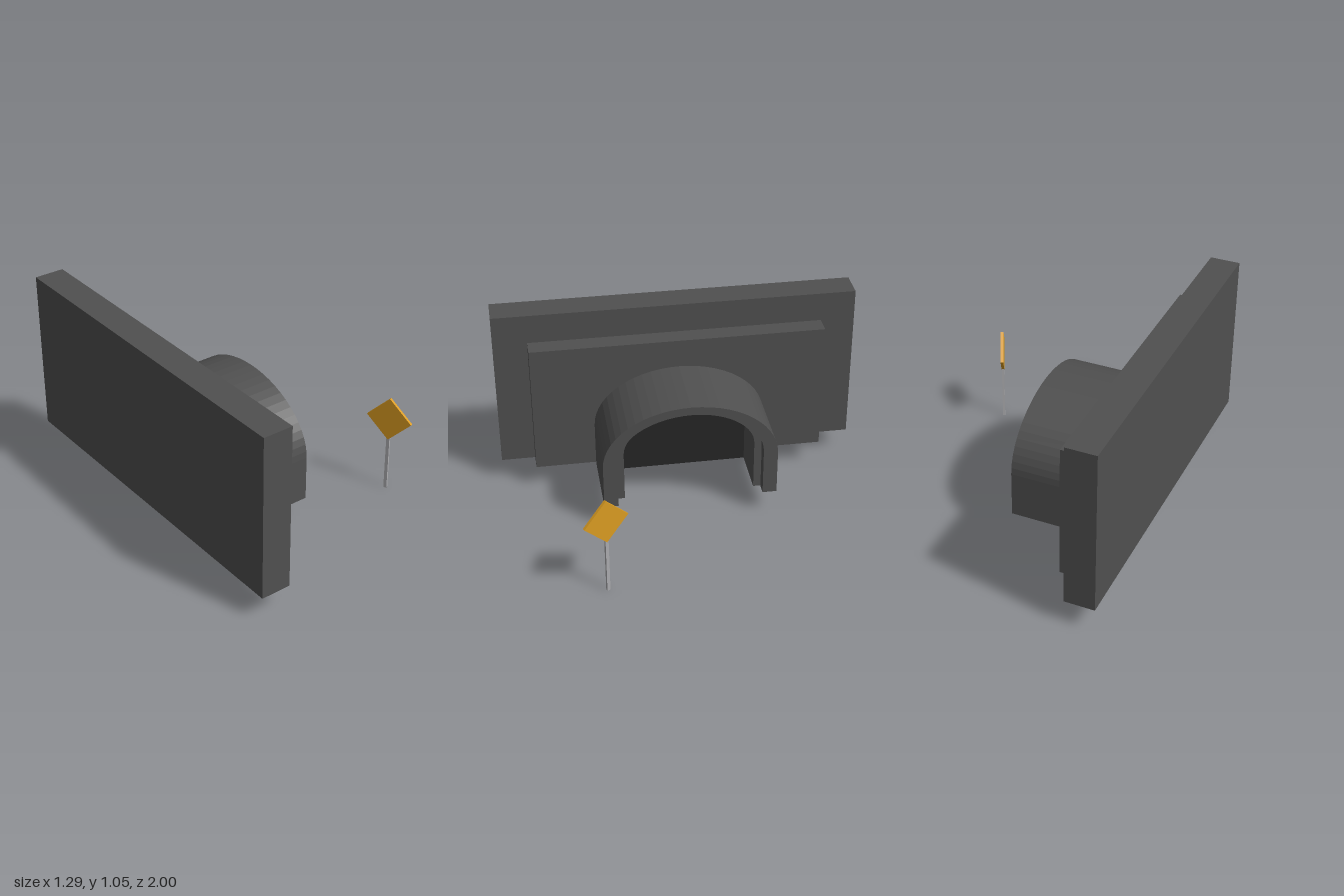
import * as THREE from 'three';

const concrete = new THREE.MeshStandardMaterial({ color: 0x505050 });
concrete.name = 'concrete';
const shadowBlack = new THREE.MeshStandardMaterial({ color: 0x272727 });
shadowBlack.name = 'tunnel black';
const signYellow = new THREE.MeshStandardMaterial({ color: 0xdc9d22 });
signYellow.name = 'sign yellow';
const postGrey = new THREE.MeshStandardMaterial({ color: 0xadadb0 });
postGrey.name = 'post grey';

const BASE = 0.135;

// Points of an arch: straight legs with a half ellipse on top
function archPoints(half, spring, top, base, steps = 28) {
  const pts = [new THREE.Vector2(half, base)];
  for (let i = 0; i <= steps; i++) {
    const a = (i / steps) * Math.PI;
    pts.push(new THREE.Vector2(Math.cos(a) * half, spring + Math.sin(a) * (top - spring)));
  }
  pts.push(new THREE.Vector2(-half, base));
  return pts;
}

// Extrude an outline along x, from x0 to x1
function extrudeAlongX(points, x0, x1, material, name) {
  const geo = new THREE.ExtrudeGeometry(new THREE.Shape(points), { depth: x1 - x0, bevelEnabled: false });
  geo.rotateY(Math.PI / 2);
  geo.translate(x0, 0, 0);
  const mesh = new THREE.Mesh(geo, material);
  mesh.name = name;
  return mesh;
}

// Box given by its limits in x and y and its half length in z
function slab(x0, x1, y0, y1, halfZ, name) {
  const mesh = new THREE.Mesh(new THREE.BoxGeometry(x1 - x0, y1 - y0, halfZ * 2), concrete);
  mesh.position.set((x0 + x1) / 2, (y0 + y1) / 2, 0);
  mesh.name = name;
  return mesh;
}

export function createModel() {
  const model = new THREE.Group();
  model.name = 'tunnelEntrance';

  // Stepped retaining walls
  model.add(slab(-0.645, -0.48, BASE, 1.047, 1, 'backWall'));
  model.add(slab(-0.48, -0.375, BASE + 0.003, 0.882, 0.812, 'frontWall'));

  // Arched hood with a recessed inner lining
  const outer = archPoints(0.475, 0.385, 0.722, 0.131);
  const middle = archPoints(0.397, 0.4, 0.675, 0.131);
  const inner = archPoints(0.356, 0.42, 0.637, BASE);
  const lining = archPoints(0.397, 0.4, 0.675, BASE);
  model.add(extrudeAlongX([...outer, ...middle.reverse()], -0.375, 0.05, concrete, 'archHood'));
  model.add(extrudeAlongX([...lining, ...[...inner].reverse()], -0.375, -0.01, concrete, 'archLining'));

  // Dark mouth of the tunnel
  model.add(extrudeAlongX(inner, -0.375, -0.29, shadowBlack, 'tunnelMouth'));

  // Diamond warning sign on a post, turned towards the road
  const sign = new THREE.Group();
  sign.name = 'warningSign';
  const side = 0.127 * Math.SQRT2;
  const plate = new THREE.Mesh(new THREE.BoxGeometry(0.016, side, side), signYellow);
  plate.name = 'signPlate';
  plate.rotation.x = Math.PI / 4;
  plate.position.y = 0.44;
  const post = new THREE.Mesh(new THREE.BoxGeometry(0.013, 0.35, 0.018), postGrey);
  post.name = 'signPost';
  post.position.y = 0.175;
  sign.add(plate, post);
  sign.position.set(0.584, 0, 0.517);
  sign.rotation.y = 0.425;
  model.add(sign);

  return model;
}
